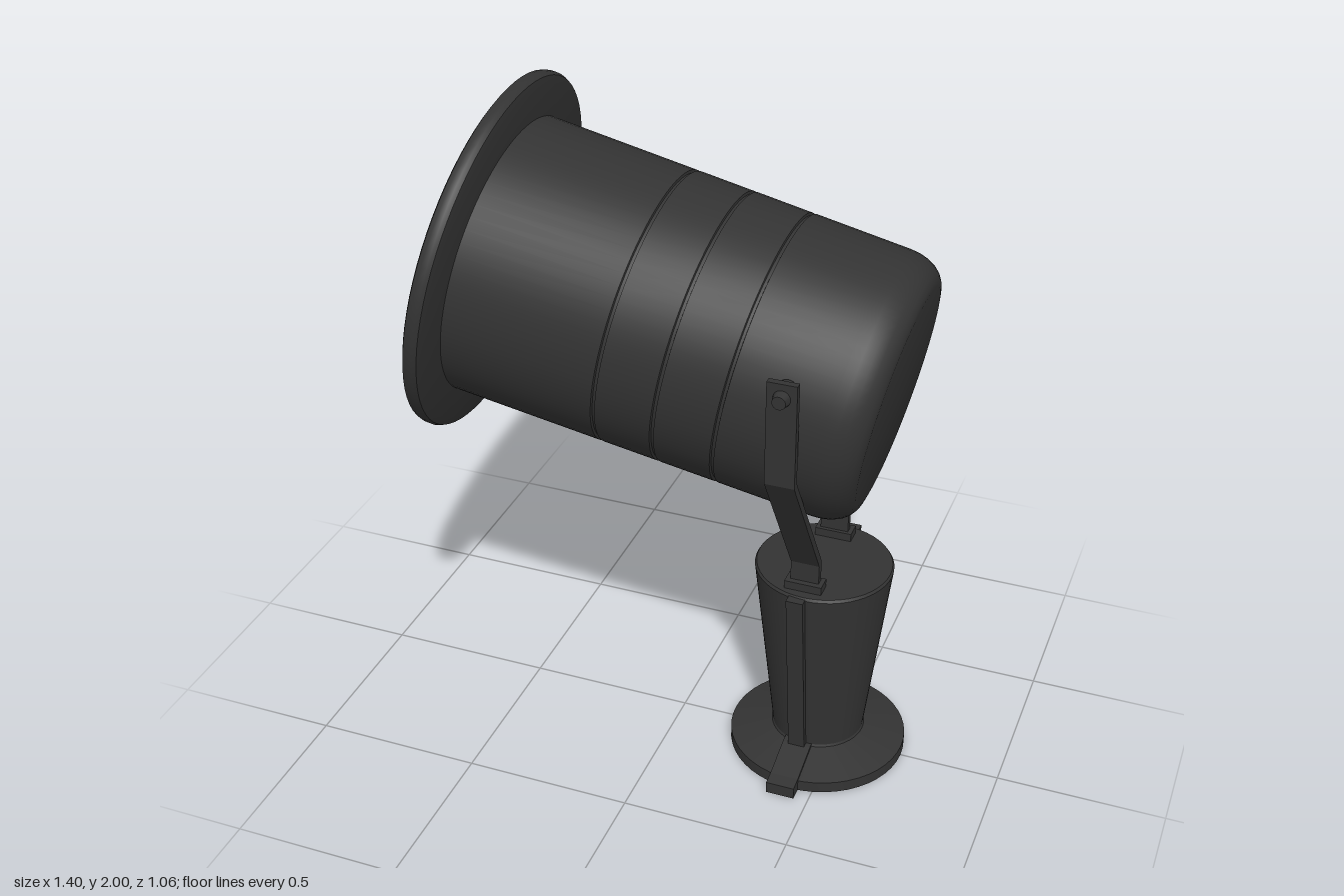
import * as THREE from 'three';
import { toCreasedNormals } from 'three/addons/utils/BufferGeometryUtils.js';

const STEM_X = 0.435, STRAP_X = 0.422, TILT = THREE.MathUtils.degToRad(11.2);

function lathe(points, segments = 64) {
  const g = new THREE.LatheGeometry(points.map(([r, y]) => new THREE.Vector2(r, y)), segments);
  return toCreasedNormals(g, 0.5);
}

// Extrudes a (z, y) outline along x, centred on x = 0
function sidePlate(points, width) {
  const shape = new THREE.Shape(points.map(([z, y]) => new THREE.Vector2(z, y)));
  const g = new THREE.ExtrudeGeometry(shape, { depth: width, bevelEnabled: false });
  return g.rotateY(-Math.PI / 2).translate(width / 2, 0, 0);
}

export function createModel() {
  const model = new THREE.Group();
  model.name = 'spotlight';
  const dark = new THREE.MeshStandardMaterial({ color: 0x333333 });
  const glass = new THREE.MeshStandardMaterial({ color: 0xb2b1a5 });
  const add = (parent, name, geometry, material = dark) => {
    const mesh = new THREE.Mesh(geometry, material);
    mesh.name = name;
    parent.add(mesh);
    return mesh;
  };

  // Tilted lamp head: local +y runs from the lens to the back cap
  const head = new THREE.Group();
  head.name = 'lampHead';
  head.position.set(-0.6, 1.482, 0);
  head.rotation.z = -Math.PI / 2 - TILT;
  model.add(head);

  add(head, 'frontFlange', lathe([
    [0.41, 0.055], [0.41, 0.004], [0.418, 0], [0.515, 0], [0.526, 0.006],
    [0.53, 0.018], [0.53, 0.034], [0.524, 0.046], [0.5, 0.052], [0.4, 0.06],
  ], 72));

  // Gently tapering housing with three narrow grooves
  const radiusAt = s => 0.411 - 0.019 * s;
  const housing = [[radiusAt(0.05), 0.05]];
  for (const s of [0.512, 0.685, 0.86]) {
    const r = radiusAt(s);
    housing.push([r, s - 0.006], [r - 0.008, s - 0.004], [r - 0.008, s + 0.004], [r, s + 0.006]);
  }
  housing.push([radiusAt(1.14), 1.14]);
  for (let i = 1; i <= 6; i++) {
    const a = (i / 6) * Math.PI / 2;
    housing.push([0.319 + 0.07 * Math.cos(a), 1.14 + 0.108 * Math.sin(a)]);
  }
  housing.push([0, 1.252]);
  add(head, 'housing', lathe(housing, 72));

  const lens = add(head, 'lens', new THREE.CircleGeometry(0.412, 64).rotateX(Math.PI / 2), glass);
  lens.position.y = 0.05;

  // Tapered stem on a hollow flared foot
  const stem = add(model, 'stemAndFoot', lathe([
    [0, 0.62], [0.185, 0.62], [0.125, 0.05], [0.25, 0.004], [0.255, 0], [0.265, 0],
    [0.265, 0.035], [0.14, 0.068], [0.137, 0.075], [0.203, 0.642], [0.198, 0.65], [0, 0.65],
  ], 48));
  stem.position.x = STEM_X;

  // Parts repeated on both z sides, turned about the stem
  for (const [side, turn] of [['left', 0], ['right', Math.PI]]) {
    const ribs = new THREE.Group();
    ribs.name = side + 'StemRib';
    ribs.position.x = STEM_X;
    ribs.rotation.y = turn;
    model.add(ribs);
    add(ribs, 'rib', sidePlate([[0.15, 0.645], [0.225, 0.645], [0.153, 0.06], [0.11, 0.06]], 0.05))
      .position.x = -0.02;
    add(ribs, 'footTab', sidePlate(
      [[0.12, 0.078], [0.15, 0.074], [0.265, 0.042], [0.305, 0.036], [0.305, 0], [0.258, 0], [0.258, 0.02], [0.12, 0.058]],
      0.085)).position.x = -0.02;

    const arm = new THREE.Group();
    arm.name = side + 'BracketArm';
    arm.position.x = STRAP_X;
    arm.rotation.y = turn;
    model.add(arm);
    // Bent strap from the stem top to the housing pivot
    add(arm, 'strap', sidePlate([
      [0.132, 0.64], [0.154, 0.64], [0.154, 0.735], [0.417, 1.15], [0.417, 1.458],
      [0.397, 1.458], [0.397, 1.157], [0.132, 0.742],
    ], 0.084));
    add(arm, 'strapSocket', new THREE.BoxGeometry(0.11, 0.03, 0.05)).position.set(0, 0.66, 0.146);
    const boss = add(arm, 'pivotBoss', new THREE.CylinderGeometry(0.03, 0.03, 0.04, 24).rotateX(Math.PI / 2));
    boss.position.set(0, 1.415, 0.385);
    const bolt = add(arm, 'pivotBolt', toCreasedNormals(
      new THREE.CylinderGeometry(0.019, 0.025, 0.028, 24).rotateX(Math.PI / 2), 0.6));
    bolt.position.set(0, 1.415, 0.428);
  }
  return model;
}
